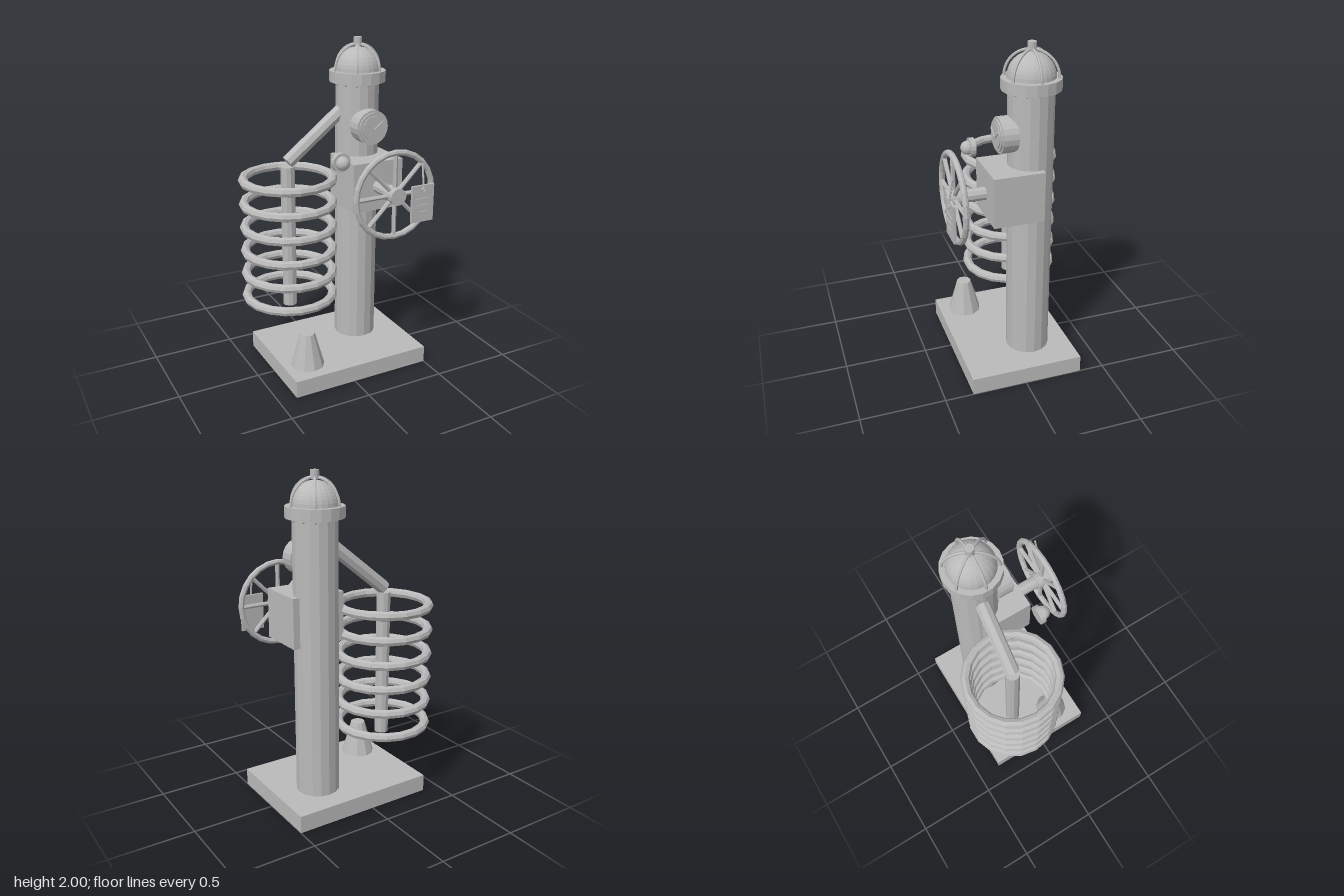
import * as THREE from 'three';

export function createModel() {
  const root = new THREE.Group();
  const grey = new THREE.MeshStandardMaterial({ color: 0xbababa, flatShading: true });
  grey.name = 'machine grey';

  const add = (name, geo, x, y, z, parent = root) => {
    const mesh = new THREE.Mesh(geo, grey);
    mesh.name = name;
    mesh.position.set(x, y, z);
    parent.add(mesh);
    return mesh;
  };
  const group = (name, x, y, z) => {
    const g = new THREE.Group();
    g.name = name;
    g.position.set(x, y, z);
    root.add(g);
    return g;
  };
  const box = (w, h, d) => new THREE.BoxGeometry(w, h, d);
  const cyl = (rt, rb, h, n = 16) => new THREE.CylinderGeometry(rt, rb, h, n);
  // Cylinder lying along z
  const disc = (r, d, n = 20) => cyl(r, r, d, n).rotateX(Math.PI / 2);
  // Round bar between two points
  const bar = (name, a, b, r, n, parent = root) => {
    const p = new THREE.Vector3(...a), q = new THREE.Vector3(...b);
    const dir = q.clone().sub(p);
    const m = add(name, cyl(r, r, dir.length(), n), 0, 0, 0, parent);
    m.position.copy(p).add(q).multiplyScalar(0.5);
    m.quaternion.setFromUnitVectors(new THREE.Vector3(0, 1, 0), dir.normalize());
    return m;
  };

  const CX = 0.233, CZ = -0.1;

  // Base, column and collar
  add('base', box(0.89, 0.105, 0.68), 0.055, 0.0525, -0.01);
  add('column', cyl(0.13, 0.13, 1.66), CX, 0.935, CZ);
  add('collar', cyl(0.167, 0.167, 0.065, 18), CX, 1.777, CZ);
  for (let i = 0; i < 12; i++) {
    const a = i * Math.PI / 6;
    add('collarRivet', new THREE.SphereGeometry(0.009, 8, 6),
      CX + 0.132 * Math.cos(a), 1.737, CZ + 0.132 * Math.sin(a));
  }

  // Caged dome
  const dome = group('dome', CX, 1.81, CZ);
  add('glassDome', new THREE.SphereGeometry(0.135, 24, 10, 0, Math.PI * 2, 0, Math.PI / 2), 0, 0, 0, dome);
  for (let i = 0; i < 3; i++) {
    add('cageRib', new THREE.TorusGeometry(0.15, 0.008, 6, 24, Math.PI), 0, 0, 0, dome)
      .rotation.y = i * Math.PI / 3;
  }
  add('finial', cyl(0.025, 0.025, 0.05, 12), 0, 0.165, 0, dome);

  // Coil rings with centre rod and slanted arm
  for (let i = 0; i < 6; i++) {
    add('coilRing', new THREE.TorusGeometry(0.268, 0.028, 8, 18).rotateX(Math.PI / 2),
      -0.215, 0.45 + i * 0.149, -0.13);
  }
  add('coilRod', cyl(0.043, 0.043, 0.895, 10), -0.215, 0.8225, -0.13);
  bar('arm', [-0.215, 1.295, -0.13], [0.16, 1.6, -0.112], 0.042, 8);

  // Cone on the base
  add('cone', cyl(0.045, 0.104, 0.21, 10), -0.242, 0.21, 0.168);

  // Gear box, shaft and spoked hand wheel
  add('gearBox', box(0.328, 0.295, 0.295), CX, 1.1675, 0.0175);
  add('shaft', disc(0.038, 0.16, 10), CX, 1.165, 0.235);
  const wheel = group('handWheel', CX, 1.165, 0.347);
  add('rim', new THREE.TorusGeometry(0.25, 0.018, 8, 24), 0, 0, 0, wheel);
  add('hub', disc(0.05, 0.09, 16), 0, 0, 0, wheel);
  for (let i = 0; i < 8; i++) {
    const a = i * Math.PI / 4, c = Math.cos(a), s = Math.sin(a);
    bar('spoke', [c * 0.03, s * 0.03, 0], [c * 0.25, s * 0.25, 0], 0.013, 6, wheel);
  }

  // Dial with stepped face and two hands
  const dial = group('dial', CX, 1.5, 0);
  add('dialCase', disc(0.103, 0.09), 0, 0, 0.045, dial);
  add('dialRim', disc(0.09, 0.012), 0, 0, 0.094, dial);
  add('dialFace', disc(0.072, 0.006), 0, 0, 0.102, dial);
  const hand = (len, ang) => {
    const m = add('dialHand', box(len, 0.011, 0.006).translate(len / 2, 0, 0), 0, -0.012, 0.109, dial);
    m.rotation.z = ang;
  };
  hand(0.08, 0.68);
  hand(0.072, Math.PI - 0.6);

  // Indicator lamp
  add('lampBase', disc(0.056, 0.03, 16), -0.018, 1.345, 0.166);
  add('lampBulb', new THREE.SphereGeometry(0.041, 20, 14), -0.018, 1.345, 0.19);

  // Hanging tag with cord, eyelet and raised bars
  const tag = group('tag', 0.384, 1.11, 0.404);
  add('plate', box(0.147, 0.22, 0.015), 0, 0, 0, tag);
  add('eyelet', new THREE.TorusGeometry(0.012, 0.004, 6, 12), 0, 0.085, 0.01, tag);
  for (let i = 0; i < 3; i++) {
    add('tagBar', box(0.1 - i * 0.02, 0.007, 0.005), 0, 0.03 - i * 0.04, 0.01, tag);
  }
  bar('cord', [0, 0.085, 0.012], [0, 0.235, -0.012], 0.006, 6, tag);

  return root;
}
